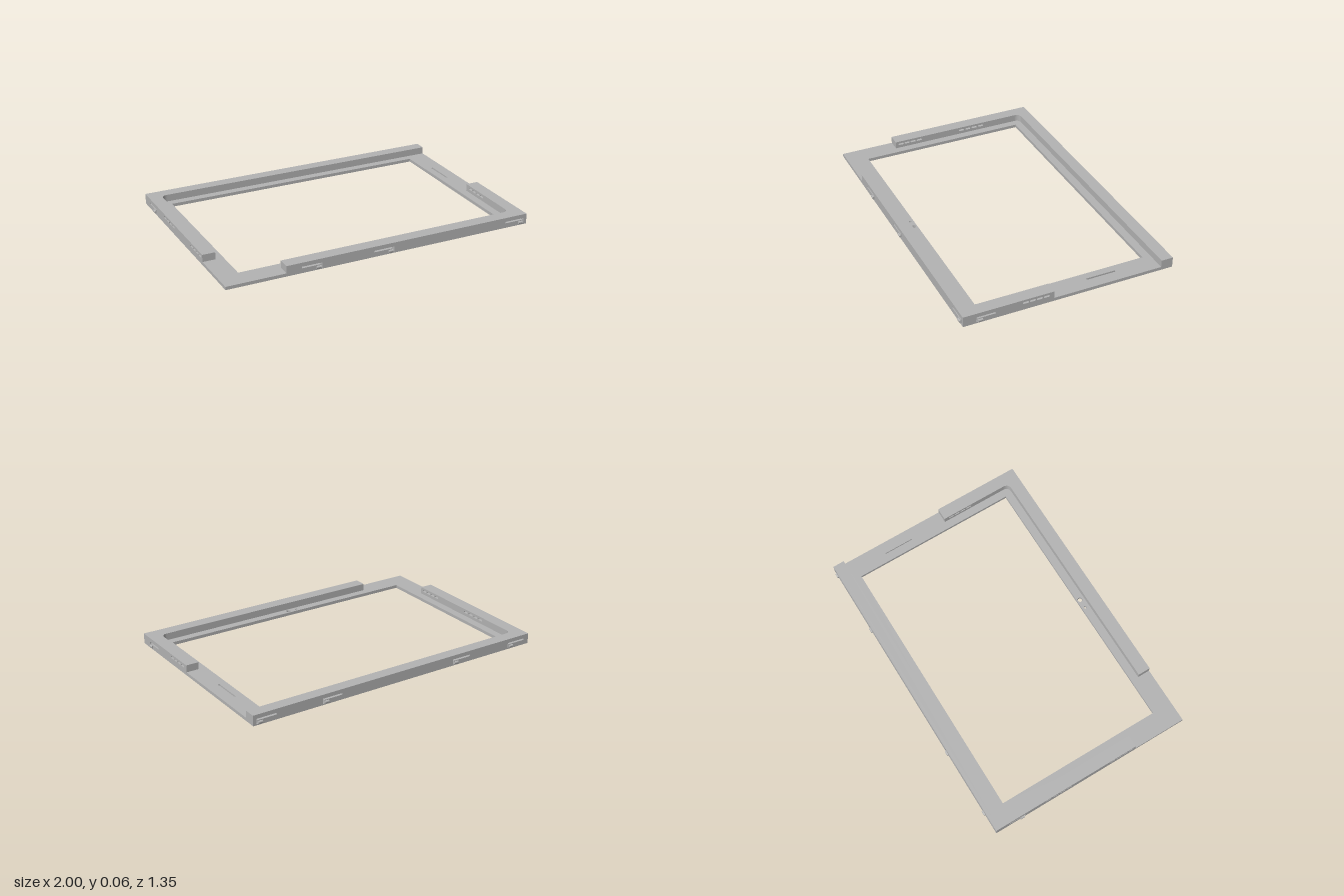
import * as THREE from 'three';

const X = 0.99, Z = 0.665;      // outer half sizes
const BASE = 0.02, TOP = 0.065; // plate and rail heights
const SKIN = 0.02;              // outer skin of a rail that carries the clip slits

const path = (points) => new THREE.Path(points.map(([a, b]) => new THREE.Vector2(a, b)));
const rect = (a0, a1, b0, b1) => path([[a0, b0], [a1, b0], [a1, b1], [a0, b1]]);

function circle(x, z, r) {
  return new THREE.Path().absarc(x, z, r, 0, Math.PI * 2);
}

// Rounded vent slot
function vent(u) {
  const h = 0.013, r = 0.006, y = 0.045, p = new THREE.Path();
  p.absarc(u + h, y, r, -Math.PI / 2, Math.PI / 2);
  p.absarc(u - h, y, r, Math.PI / 2, Math.PI * 1.5);
  return p;
}

// L-shaped slit that frees a snap tongue, ending at u
function slit(u, length) {
  const a = u - length;
  return path([[a, 0.03], [u - 0.008, 0.03], [u - 0.008, 0.008], [u, 0.008], [u, 0.04], [a, 0.04]]);
}

// Extrude an outline lying in x,z between two heights
function slab(shape, y0, y1) {
  const g = new THREE.ExtrudeGeometry(shape, { depth: y1 - y0, bevelEnabled: false, curveSegments: 10 });
  return g.rotateX(Math.PI / 2).translate(0, y1, 0);
}

export function createModel() {
  const model = new THREE.Group();
  const grey = new THREE.MeshStandardMaterial({ color: 0xb4b4b4 });
  grey.name = 'grey plastic';

  const add = (name, geometry, parent = model) => {
    const mesh = new THREE.Mesh(geometry, grey);
    mesh.name = name;
    parent.add(mesh);
    return mesh;
  };

  // Bezel plate, stepped inward where rail skins cover its edge
  const xi = X - SKIN, zi = Z - SKIN;
  const outline = [
    [-xi, -zi], [X, -zi], [X, 0.105], [xi, 0.105], [xi, zi], [-0.62, zi],
    [-0.62, Z], [-X, Z], [-X, 0.32], [-xi, 0.32],
  ].map(([x, z]) => new THREE.Vector2(x, z));
  const plate = (groove) => {
    const s = new THREE.Shape(outline);
    s.holes.push(rect(-0.86, 0.86, -0.54, 0.535), circle(0, 0.557, 0.015), circle(-0.06, 0.557, 0.008));
    if (groove) s.holes.push(rect(0.906, 0.918, -0.33, -0.14));
    return s;
  };
  add('bezelPlateLower', slab(plate(false), 0, BASE / 2));
  add('bezelPlateUpper', slab(plate(true), BASE / 2, BASE));

  // Rails: slit outer skin plus an inner body, with vents through both
  const lowVents = [0.153, 0.197, 0.24, 0.283];
  const highVents = [-0.155, -0.203, -0.251, -0.299];
  const rails = [
    { name: 'backRail', axis: 'x', side: -1, from: -X, to: X, width: 0.075, vents: [],
      clips: [[-0.85, 0.13], [-0.42, 0.13], [0.51, 0.13], [0.945, 0.13]] },
    { name: 'frontRail', axis: 'x', side: 1, from: -0.62, to: X, width: 0.08, vents: [],
      clips: [[-0.42, 0.13], [0.045, 0.13], [0.945, 0.13]] },
    { name: 'leftRail', axis: 'z', side: 1, from: 0.105, to: 0.585, width: 0.08, vents: lowVents,
      clips: [[0.56, 0.118]] },
    { name: 'rightRail', axis: 'z', side: -1, from: -0.59, to: 0.32, width: 0.08, vents: [...lowVents, ...highVents],
      clips: [[-0.485, 0.12]] },
  ];

  for (const r of rails) {
    const group = new THREE.Group();
    group.name = r.name;
    model.add(group);
    const edge = r.axis === 'x' ? Z : X;

    // Layer between two distances from the outer edge
    const layer = (name, d0, d1, holes) => {
      const s = new THREE.Shape(rect(r.from, r.to, 0, TOP).getPoints());
      s.holes.push(...holes);
      const depth = d1 - d0;
      const g = new THREE.ExtrudeGeometry(s, { depth, bevelEnabled: false, curveSegments: 6 });
      const centre = r.side * (edge - (d0 + d1) / 2);
      g.translate(0, 0, -depth / 2);
      if (r.axis === 'x') g.translate(0, 0, centre);
      else g.rotateY(-Math.PI / 2).translate(centre, 0, 0);
      add(name, g, group);
    };
    layer('railSkin', 0, SKIN, [
      ...r.vents.map(vent), ...r.clips.map(([u, length]) => slit(u + 0.024, length)),
    ]);
    layer('railBody', SKIN, r.width, r.vents.map(vent));

    // Rounded snap nubs on the tongues
    for (const [u] of r.clips) {
      const nub = new THREE.CylinderGeometry(0.009, 0.009, 0.028, 12);
      if (r.axis === 'x') nub.rotateZ(Math.PI / 2).translate(u, 0.016, r.side * edge);
      else nub.rotateX(Math.PI / 2).translate(r.side * edge, 0.016, u);
      add('snapNub', nub, group);
    }
  }

  // Rounded inner corners where two rails meet
  for (const [x, z, s] of [[-0.91, -0.59, 1], [0.91, 0.585, -1]]) {
    const r = 0.04 * s, f = new THREE.Shape();
    f.moveTo(x, z);
    f.lineTo(x + r, z);
    f.quadraticCurveTo(x, z, x, z + r);
    add('cornerFillet', slab(f, BASE, TOP));
  }
  return model;
}
